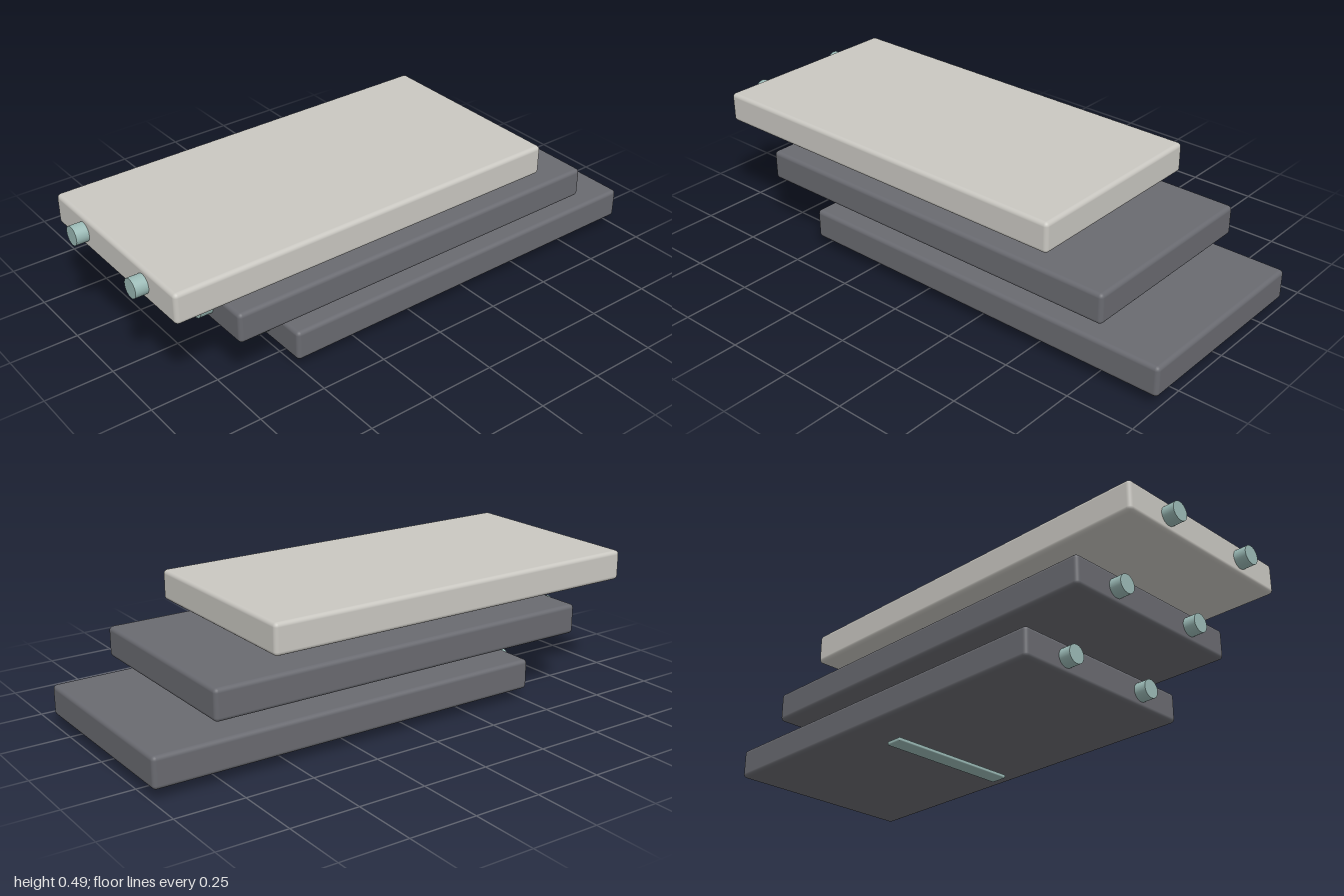
import * as THREE from 'three';
import { RoundedBoxGeometry } from 'three/addons/geometries/RoundedBoxGeometry.js';

export function createModel() {
  const model = new THREE.Group();
  model.name = 'steppedSlabs';

  const material = (name, color) => {
    const m = new THREE.MeshStandardMaterial({ color });
    m.name = name;
    return m;
  };
  const paleStone = material('paleStone', 0xc9c7c1);
  const darkGrey = material('darkGrey', 0x696a70);
  const paleTeal = material('paleTeal', 0x9bbab6);

  const add = (parent, name, geometry, mat, x, y, z) => {
    const mesh = new THREE.Mesh(geometry, mat);
    mesh.name = name;
    mesh.position.set(x, y, z);
    parent.add(mesh);
  };

  // Shared shapes: rounded slab and a short round peg pointing forward
  const width = 0.755, height = 0.112, depth = 1.513;
  const slabGeometry = new RoundedBoxGeometry(width, height, depth, 3, 0.015);
  const pegLength = 0.09;
  const pegGeometry = new THREE.CylinderGeometry(0.0345, 0.0345, pegLength, 32).rotateX(Math.PI / 2);

  // Three staggered slabs, each a step higher and further forward
  ['bottom', 'middle', 'top'].forEach((level, i) => {
    const layer = new THREE.Group();
    layer.name = level + 'Layer';
    layer.position.set(0, 0.0965 + i * 0.17, -1 + depth / 2 + i * 0.2205);
    add(layer, level + 'Slab', slabGeometry, level === 'top' ? paleStone : darkGrey, 0, 0, 0);
    // Pair of pegs on the front edge, half sunk into the slab
    for (const side of [-1, 1]) {
      add(layer, level + (side > 0 ? 'LeftPeg' : 'RightPeg'), pegGeometry, paleTeal,
        side * 0.189, 0, depth / 2 + 0.046 - pegLength / 2);
    }
    model.add(layer);
  });

  // Thin bar floating under the lowest slab
  add(model, 'baseBar', new RoundedBoxGeometry(0.529, 0.014, 0.066, 2, 0.004), paleTeal, 0, 0.007, -0.243);

  return model;
}
